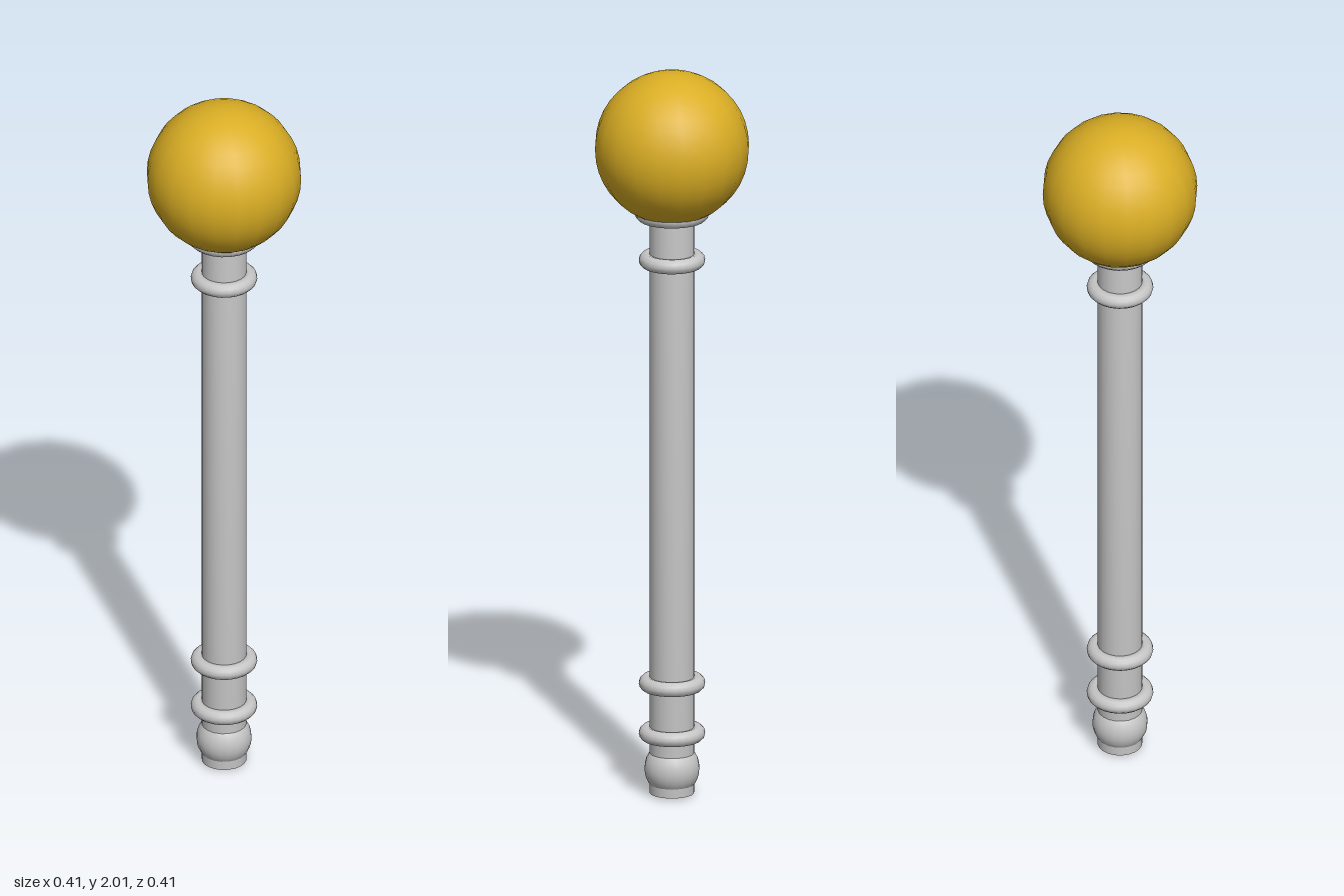
import * as THREE from 'three';

export function createModel() {
  const model = new THREE.Group();
  const gold = new THREE.MeshStandardMaterial({ color: 0xdaae24 });
  gold.name = 'gold';
  const silver = new THREE.MeshStandardMaterial({ color: 0xc6c6c6 });
  silver.name = 'silver';

  const add = (name, geometry, material, y) => {
    const mesh = new THREE.Mesh(geometry, material);
    mesh.name = name;
    mesh.position.y = y;
    model.add(mesh);
  };

  // Shaft with closed ends, its normals blended softly across the rims
  const profile = [[0, 0], [0.06, 0], [0.06, 1.62], [0, 1.62]];
  add('shaft', new THREE.LatheGeometry(profile.map(([x, y]) => new THREE.Vector2(x, y)), 20), silver, 0);

  // Large ball on top and small bulb at the foot
  add('topBall', new THREE.SphereGeometry(0.207, 20, 20), gold, 1.793);
  add('footBulb', new THREE.SphereGeometry(0.074, 20, 16), silver, 0.068);

  // Rings: name, height, outer radius, tube radius
  const rings = [
    ['ballCollar', 1.612, 0.1, 0.022],
    ['upperRing', 1.48, 0.089, 0.02],
    ['gripRing', 0.305, 0.089, 0.02],
    ['lowerRing', 0.166, 0.089, 0.02],
  ];
  for (const [name, y, outer, tube] of rings) {
    const ring = new THREE.TorusGeometry(outer - tube, tube, 12, 24).rotateX(Math.PI / 2);
    add(name, ring, silver, y);
  }
  return model;
}
